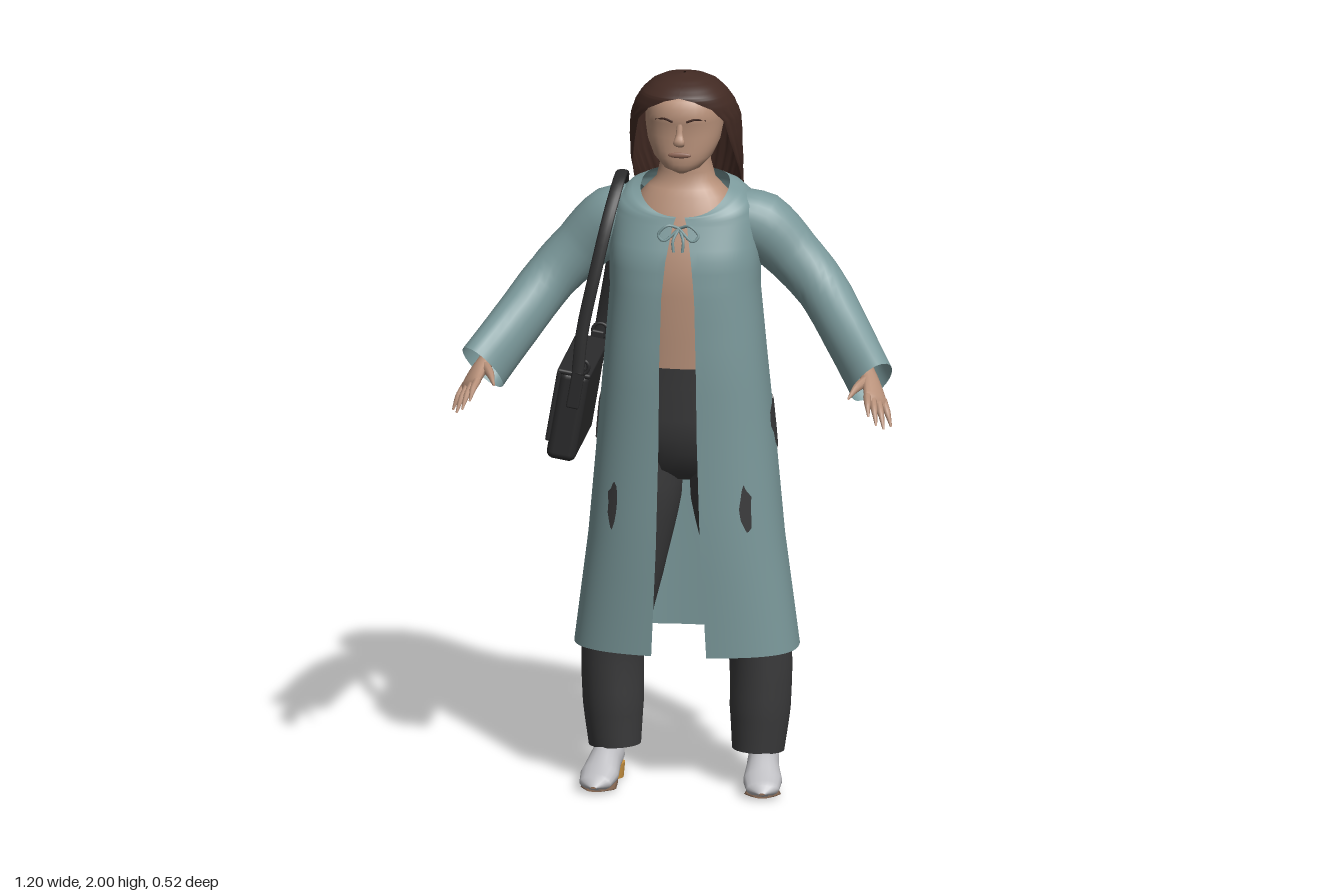
import * as THREE from 'three';
import { RoundedBoxGeometry } from 'three/addons/geometries/RoundedBoxGeometry.js';

const V = (x, y, z) => new THREE.Vector3(x, y, z);
const mat = (name, color, side = THREE.DoubleSide) => {
  const m = new THREE.MeshStandardMaterial({ color, side });
  m.name = name;
  return m;
};

// Grid surface from fn(u, v), optionally wrapped around in u
function surf(fn, nu, nv, wrap) {
  const pos = [], idx = [], cols = wrap ? nu : nu + 1;
  for (let i = 0; i <= nv; i++)
    for (let j = 0; j < cols; j++) pos.push(...fn(j / nu, i / nv).toArray());
  for (let i = 0; i < nv; i++)
    for (let j = 0; j < nu; j++) {
      const a = i * cols + j, b = i * cols + (j + 1) % cols;
      idx.push(a, b, b + cols, a, b + cols, a + cols);
    }
  const g = new THREE.BufferGeometry();
  g.setAttribute('position', new THREE.Float32BufferAttribute(pos, 3));
  g.setIndex(idx);
  g.computeVertexNormals();
  return g;
}

// Rows are [y, half width, front z, back z, extra...]; interpolated by height
function rowAt(rows, y) {
  let i = 0;
  while (i < rows.length - 2 && y > rows[i + 1][0]) i++;
  const k = (y - rows[i][0]) / (rows[i + 1][0] - rows[i][0]);
  return rows[i].map((a, c) => a + (rows[i + 1][c] - a) * k);
}
function heightAt(rows, v) {
  const f = v * (rows.length - 1), i = Math.min(Math.floor(f), rows.length - 2);
  return rows[i][0] + (rows[i + 1][0] - rows[i][0]) * (f - i);
}
const pw = (a, p) => Math.sign(a) * Math.abs(a) ** p;
// Point on a superellipse section; angle 0 is the front, positive toward +x
function ringPoint(rows, y, t, p, grow = 0) {
  const [, hx, zf, zb] = rowAt(rows, y);
  return V((hx + grow) * pw(Math.sin(t), p), y, (zf + zb) / 2 + ((zf - zb) / 2 + grow) * pw(Math.cos(t), p));
}
const stack = (rows, p = 0.9, nu = 32) =>
  surf((u, v) => ringPoint(rows, heightAt(rows, v), u * Math.PI * 2, p), nu, (rows.length - 1) * 2, true);

// Tube through points with radii [along ref, across]
function tube(points, radii, ref, nu = 16, per = 4) {
  const curve = new THREE.CatmullRomCurve3(points.map(a => V(...a)));
  const r = V(...ref), n = points.length - 1;
  return surf((u, v) => {
    const f = v * n, i = Math.min(Math.floor(f), n - 1), k = f - i;
    const T = curve.getTangent(v), B = T.clone().cross(r).normalize(), N = B.clone().cross(T);
    const [rn, rb] = [0, 1].map(c => radii[i][c] + (radii[i + 1][c] - radii[i][c]) * k);
    const a = u * Math.PI * 2;
    return curve.getPoint(v).addScaledVector(N, rn * Math.cos(a)).addScaledVector(B, rb * Math.sin(a));
  }, nu, n * per, true);
}
const cord = (points, r) => new THREE.TubeGeometry(new THREE.CatmullRomCurve3(points.map(a => V(...a))), 20, r, 6);

// Section rows; coat adds opening half width and neckline dip, hair adds opening angle
const COAT = [
  [0.39, 0.305, 0.075, -0.255, 0.075, 0], [0.7, 0.265, 0.09, -0.255, 0.06, 0], [1.0, 0.238, 0.095, -0.25, 0.052, 0],
  [1.2, 0.22, 0.1, -0.23, 0.05, 0], [1.4, 0.203, 0.095, -0.207, 0.045, 0], [1.5, 0.205, 0.085, -0.2, 0.035, 0],
  [1.6, 0.2, 0.052, -0.195, 0.02, 0.01], [1.66, 0.185, 0.047, -0.18, 0.015, 0.055],
  [1.69, 0.155, 0.044, -0.165, 0.012, 0.075], [1.705, 0.12, 0.04, -0.15, 0.012, 0.09]];
const HAIR = [
  [1.29, 0.15, -0.14, -0.234, 1.75], [1.4, 0.16, -0.14, -0.236, 1.7], [1.5, 0.16, -0.14, -0.232, 1.7],
  [1.6, 0.155, -0.1, -0.22, 1.65], [1.68, 0.145, -0.04, -0.207, 1.5], [1.75, 0.15, 0.01, -0.197, 1.2],
  [1.82, 0.15, 0.04, -0.187, 1.0], [1.88, 0.147, 0.055, -0.18, 0.88], [1.92, 0.135, 0.065, -0.17, 0.65],
  [1.945, 0.12, 0.068, -0.155, 0.3], [1.955, 0.112, 0.066, -0.15, 0], [1.975, 0.09, 0.04, -0.13, 0],
  [1.99, 0.06, 0.01, -0.1, 0], [2.0, 0.003, -0.035, -0.05, 0]];
const HEAD = [
  [1.735, 0.015, 0.03, -0.03], [1.75, 0.05, 0.052, -0.06], [1.78, 0.08, 0.057, -0.1], [1.82, 0.098, 0.056, -0.13],
  [1.86, 0.105, 0.056, -0.15], [1.9, 0.106, 0.062, -0.155], [1.94, 0.098, 0.05, -0.14], [1.97, 0.06, 0.01, -0.1]];
const TORSO = [
  [1.15, 0.17, 0.07, -0.18], [1.4, 0.17, 0.075, -0.18], [1.5, 0.17, 0.065, -0.17], [1.6, 0.15, 0.035, -0.16],
  [1.66, 0.12, 0.012, -0.145], [1.7, 0.08, -0.008, -0.13], [1.75, 0.068, -0.01, -0.12], [1.82, 0.068, -0.01, -0.12]];
const HIPS = [
  [0.86, 0.05, -0.03, -0.12], [0.9, 0.15, 0.03, -0.17], [1.0, 0.2, 0.07, -0.2],
  [1.1, 0.195, 0.075, -0.195], [1.2, 0.18, 0.08, -0.19]];
const BAND = [[1.14, 0.19, 0.083, -0.195], [1.2, 0.185, 0.086, -0.19]];

export function createModel() {
  const root = new THREE.Group();
  const coat = mat('coat teal', 0x7b999b), hair = mat('hair brown', 0x422a23), skin = mat('skin', 0xb8917a);
  const trousers = mat('trouser charcoal', 0x3a3a3b), leather = mat('bag black', 0x2a2a2b);
  const shoe = mat('shoe grey', 0xbcbcc0), heel = mat('heel ochre', 0xc8913f), sole = mat('sole brown', 0x80634f);
  const lip = mat('lip', 0x8d6555);
  const add = (parent, name, geo, m) => {
    const mesh = new THREE.Mesh(geo, m);
    mesh.name = name;
    parent.add(mesh);
    return mesh;
  };

  // Body, trousers and head
  add(root, 'torso', stack(TORSO), skin);
  add(root, 'trouserHips', stack(HIPS), trousers);
  add(root, 'waistband', stack(BAND), trousers);
  add(root, 'head', stack(HEAD), skin);
  add(root, 'nose', tube([[0, 1.88, 0.054], [0, 1.85, 0.06], [0, 1.83, 0.066], [0, 1.817, 0.055]],
    [[0.006, 0.008], [0.008, 0.01], [0.011, 0.017], [0.002, 0.01]], [0, 0, 1], 10), skin);
  const mouth = add(root, 'mouth', new THREE.SphereGeometry(1, 14, 8), lip);
  mouth.scale.set(0.032, 0.008, 0.005);
  mouth.position.set(0, 1.793, 0.056);

  // Coat body, open down the front
  add(root, 'coatBody', surf((u, v) => {
    const y = heightAt(COAT, v), r = rowAt(COAT, y), t0 = Math.asin((r[4] / r[1]) ** 1.25);
    const t = t0 + u * (Math.PI * 2 - 2 * t0), q = ringPoint(COAT, y, t, 0.8);
    q.y -= r[5] * ((1 + Math.cos(t)) / 2) ** 2;
    return q;
  }, 72, (COAT.length - 1) * 3, false), coat);

  // Worn patches laid on the coat: angle, height, half angle, half height
  let seed = 7;
  const rand = () => (seed = (seed * 16807) % 2147483647) / 2147483647;
  const patch = (t, y, w, h) => {
    const edge = Array.from({ length: 14 }, () => 0.7 + 0.4 * rand());
    add(root, 'coatPatch', surf((u, v) => {
      const a = u * Math.PI * 2, r = v * edge[Math.round(u * 14) % 14];
      return ringPoint(COAT, y + h * r * Math.sin(a), t + w * r * pw(Math.cos(a), 1.3), 0.8, 0.004);
    }, 14, 4, true), trousers);
  };
  for (const s of [1, -1]) {
    patch(s * 0.7, 0.81, 0.1, 0.07);
    patch(s * 1.66, 1.02, 0.27, 0.078);
    patch(Math.PI + s * 0.14, 1.03, 0.085, 0.04);
  }

  // Neck tie with two loops and two tails
  for (const s of [1, -1]) {
    add(root, 'tieLoop', cord([[0, 1.59, 0.062], [s * 0.03, 1.6, 0.075], [s * 0.055, 1.575, 0.08],
      [s * 0.04, 1.56, 0.085], [0, 1.59, 0.066]], 0.004), coat);
    add(root, 'tieTail', cord([[0, 1.59, 0.064], [s * 0.014, 1.56, 0.085], [s * 0.012, 1.53, 0.09]], 0.004), coat);
  }

  // Long hair with a ragged lower edge
  add(root, 'hair', surf((u, v) => {
    const y = heightAt(HAIR, v), t0 = rowAt(HAIR, y)[4], t = t0 + u * (Math.PI * 2 - 2 * t0);
    const low = Math.max(0, (1.5 - y) / 0.21), k = Math.round(u * 60);
    const q = ringPoint(HAIR, y, t, 0.9, y < 1.9 ? 0.003 * Math.sin(k * 1.9) : 0);
    q.y += low * (0.045 * Math.sin(k * 0.9) + 0.03 * Math.sin(k * 2.3 + 1) + 0.02);
    return q;
  }, 60, (HAIR.length - 1) * 3, false), hair);

  // Paired parts, built on the left and mirrored to the right
  for (const s of [1, -1]) {
    const half = new THREE.Group();
    half.name = s > 0 ? 'leftSide' : 'rightSide';
    half.scale.x = s;
    root.add(half);

    add(half, 'sleeve', tube(
      [[0.11, 1.6, -0.08], [0.2, 1.57, -0.085], [0.29, 1.485, -0.09], [0.37, 1.4, -0.07], [0.45, 1.295, 0.005], [0.53, 1.19, 0.1]],
      [[0.07, 0.075], [0.09, 0.08], [0.078, 0.07], [0.073, 0.068], [0.077, 0.062], [0.085, 0.055]], [0, 1, 0], 24), coat);

    // Hand
    const across = [0.62, -0.37, -0.7];
    add(half, 'palm', tube([[0.45, 1.29, 0.01], [0.52, 1.21, 0.105], [0.537, 1.19, 0.14], [0.552, 1.165, 0.18], [0.557, 1.155, 0.195]],
      [[0.03, 0.03], [0.026, 0.022], [0.032, 0.019], [0.04, 0.015], [0.033, 0.006]], across, 14), skin);
    [[0.543, 1.14, 0.26], [0.564, 1.115, 0.258], [0.582, 1.1, 0.24], [0.597, 1.097, 0.203]].forEach((tip, i) => {
      const k = V(0.55, 1.168, 0.178).addScaledVector(V(...across), (i - 1.5) * 0.02);
      const mid = k.clone().lerp(V(...tip), 0.55).add(V(0, 0.008, 0.003));
      add(half, 'finger', tube([k.toArray(), mid.toArray(), tip],
        [[0.011, 0.011], [0.009, 0.009], [0.003, 0.003]], across, 8), skin);
    });
    add(half, 'thumb', tube([[0.522, 1.205, 0.13], [0.5, 1.195, 0.175], [0.483, 1.175, 0.22]],
      [[0.016, 0.014], [0.012, 0.011], [0.003, 0.003]], across, 8), skin);

    // Trouser leg, straight and loose
    add(half, 'trouserLeg', tube(
      [[0.105, 0.98, -0.07], [0.12, 0.82, -0.075], [0.165, 0.6, -0.08], [0.2, 0.38, -0.085], [0.2, 0.22, -0.085], [0.195, 0.1, -0.08]],
      [[0.12, 0.095], [0.12, 0.108], [0.105, 0.103], [0.09, 0.086], [0.085, 0.083], [0.07, 0.071]], [0, 0, 1], 24), trousers);

    // Shoe with sole and stacked heel
    add(half, 'shoe', tube(
      [[0.205, 0.075, -0.142], [0.207, 0.075, -0.13], [0.21, 0.074, -0.085], [0.215, 0.062, -0.03], [0.222, 0.04, 0.025], [0.228, 0.026, 0.07], [0.23, 0.02, 0.095]],
      [[0.005, 0.005], [0.035, 0.03], [0.045, 0.042], [0.046, 0.044], [0.034, 0.053], [0.022, 0.044], [0.003, 0.008]], [0, 1, 0], 18), shoe);
    add(half, 'sole', tube(
      [[0.207, 0.034, -0.12], [0.212, 0.026, -0.06], [0.218, 0.01, -0.005], [0.224, 0.006, 0.04], [0.229, 0.01, 0.085]],
      [[0.006, 0.02], [0.006, 0.03], [0.006, 0.042], [0.006, 0.05], [0.004, 0.022]], [0, 1, 0], 12), sole);
    const h = add(half, 'heel', new THREE.CylinderGeometry(0.038, 0.034, 0.042, 16), heel);
    h.position.set(0.208, 0.021, -0.098);

    // Eye and brow
    const eye = add(half, 'eye', new THREE.SphereGeometry(1, 12, 8), leather);
    eye.scale.set(0.017, 0.005, 0.004);
    eye.position.set(0.042, 1.87, 0.046);
    eye.rotation.y = 0.35;
    add(half, 'brow', cord([[0.018, 1.887, 0.059], [0.042, 1.894, 0.053], [0.068, 1.888, 0.036]], 0.0035), hair);
  }

  // Shoulder bag on the right hip
  const bag = new THREE.Group();
  bag.name = 'shoulderBag';
  bag.position.set(-0.3, 1.06, -0.07);
  bag.rotation.z = -0.17;
  root.add(bag);
  add(bag, 'bagBody', new RoundedBoxGeometry(0.08, 0.25, 0.35, 4, 0.02), leather);
  add(bag, 'bagFlap', new RoundedBoxGeometry(0.012, 0.2, 0.36, 2, 0.005), leather).position.set(-0.042, 0.025, 0);
  add(bag, 'bagTop', new RoundedBoxGeometry(0.092, 0.014, 0.36, 2, 0.006), leather).position.set(-0.002, 0.124, 0);
  for (const s of [1, -1]) {
    add(bag, 'bagTab', new RoundedBoxGeometry(0.035, 0.12, 0.014, 2, 0.005), leather).position.set(0.01, 0.09, s * 0.18);
    add(bag, 'strapRing', new THREE.TorusGeometry(0.02, 0.005, 8, 18), leather).position.set(0.015, 0.15, s * 0.183);
  }
  const path = [[-0.268, 1.19, 0.12], [-0.258, 1.3, 0.11], [-0.222, 1.48, 0.085], [-0.195, 1.61, 0.045], [-0.178, 1.69, -0.03],
    [-0.178, 1.695, -0.11], [-0.195, 1.6, -0.195], [-0.225, 1.4, -0.235], [-0.25, 1.26, -0.255], [-0.265, 1.17, -0.255]];
  add(root, 'bagStrap', tube(path, path.map(() => [0.017, 0.006]), [1, 0, 0], 10, 5), leather);
  return root;
}
